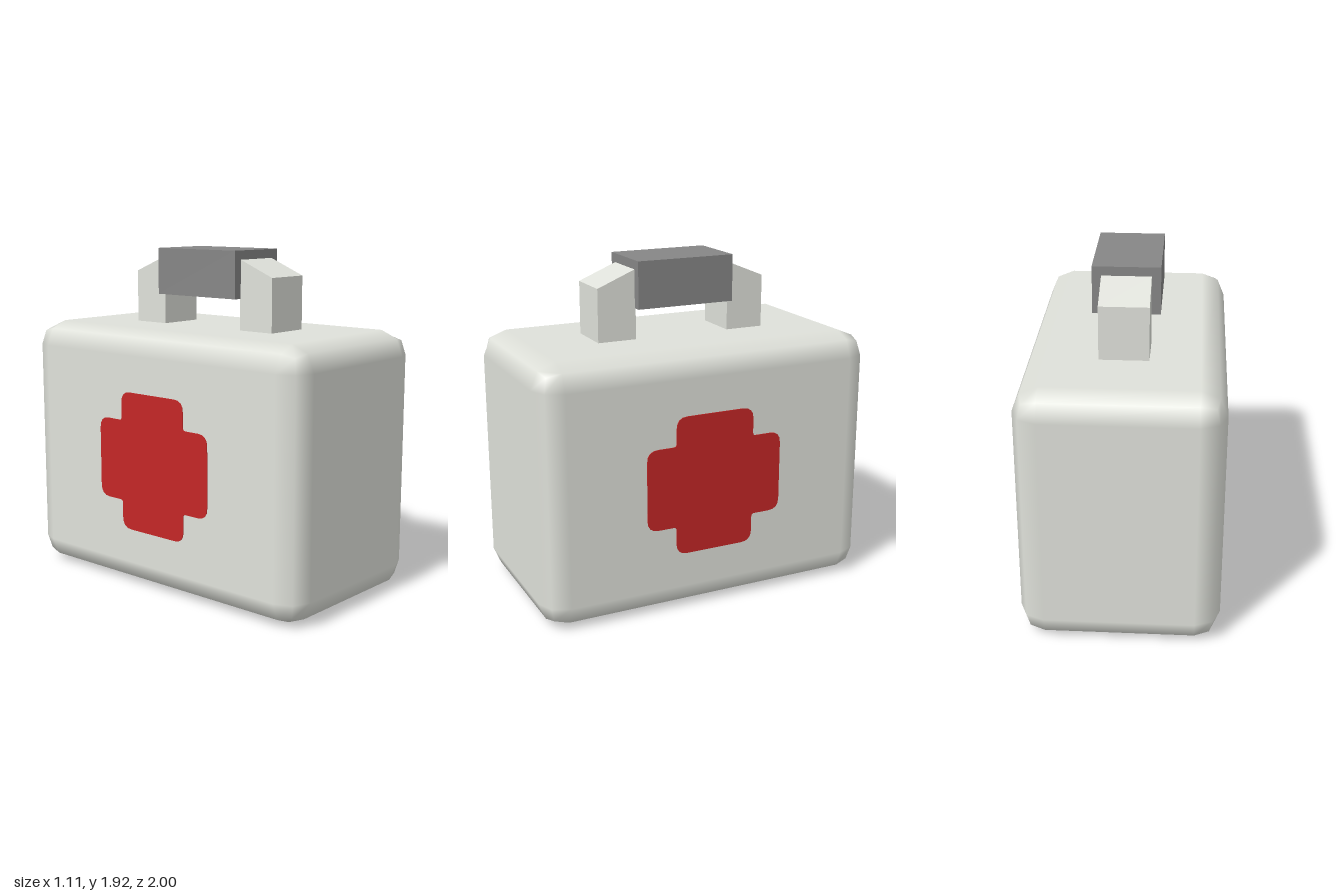
import * as THREE from 'three';
import { RoundedBoxGeometry } from 'three/addons/geometries/RoundedBoxGeometry.js';

const material = (name, color) => {
  const m = new THREE.MeshStandardMaterial({ color });
  m.name = name;
  return m;
};

// Plus-shaped outline with rounded arm ends and small fillets in the notches
function crossShape() {
  const W = 0.41, H = 0.398, w = 0.235, h = 0.233, r = 0.065, f = 0.018;
  // corners of one quadrant, counter-clockwise, each with its rounding radius
  const quadrant = [[W, h, r], [w, h, f], [w, H, r]];
  const corners = [];
  for (const [sx, sy] of [[1, 1], [-1, 1], [-1, -1], [1, -1]]) {
    const q = quadrant.map(([x, y, k]) => ({ p: new THREE.Vector2(x * sx, y * sy), k }));
    corners.push(...(sx * sy > 0 ? q : q.reverse()));
  }
  const shape = new THREE.Shape();
  const n = corners.length;
  corners.forEach(({ p, k }, i) => {
    const toward = (q) => q.clone().sub(p).setLength(k).add(p);
    const a = toward(corners[(i + n - 1) % n].p);
    const b = toward(corners[(i + 1) % n].p);
    if (i === 0) shape.moveTo(a.x, a.y);
    else shape.lineTo(a.x, a.y);
    shape.quadraticCurveTo(p.x, p.y, b.x, b.y);
  });
  shape.closePath();
  return shape;
}

export function createModel() {
  const group = new THREE.Group();
  group.name = 'firstAidCase';
  const white = material('offWhite', 0xdfe1da);
  const grey = material('gripGrey', 0x868686);
  const red = material('crossRed', 0xc42626);

  const add = (name, geometry, mat, x = 0, y = 0, z = 0) => {
    const mesh = new THREE.Mesh(geometry, mat);
    mesh.name = name;
    mesh.position.set(x, y, z);
    group.add(mesh);
    return mesh;
  };

  // Case with softly rounded edges
  add('caseBody', new RoundedBoxGeometry(1.1, 1.48, 2, 1, 0.14), white, 0, 0.74, 0);

  // Handle posts with sloping outer tops, profile drawn as (z, y)
  const profile = new THREE.Shape([
    [0.285, 1.46], [0.51, 1.46], [0.51, 1.78], [0.285, 1.872],
  ].map(([z, y]) => new THREE.Vector2(z, y)));
  const postGeometry = new THREE.ExtrudeGeometry(profile, { depth: 0.27, bevelEnabled: false });
  postGeometry.translate(0, 0, -0.135);
  for (const side of [1, -1]) {
    const post = add(side > 0 ? 'frontHandlePost' : 'backHandlePost', postGeometry, white);
    post.rotation.y = -side * Math.PI / 2;
  }

  // Grip
  add('handleGrip', new THREE.BoxGeometry(0.37, 0.265, 0.58), grey, 0, 1.788, 0);

  // Thin cross plate on each broad side
  const crossGeometry = new THREE.ExtrudeGeometry(crossShape(), {
    depth: 0.006, bevelEnabled: false, curveSegments: 4,
  });
  for (const side of [1, -1]) {
    const cross = add(side > 0 ? 'leftCross' : 'rightCross', crossGeometry, red, side * 0.548, 0.735, 0);
    cross.rotation.y = side * Math.PI / 2;
  }
  return group;
}
